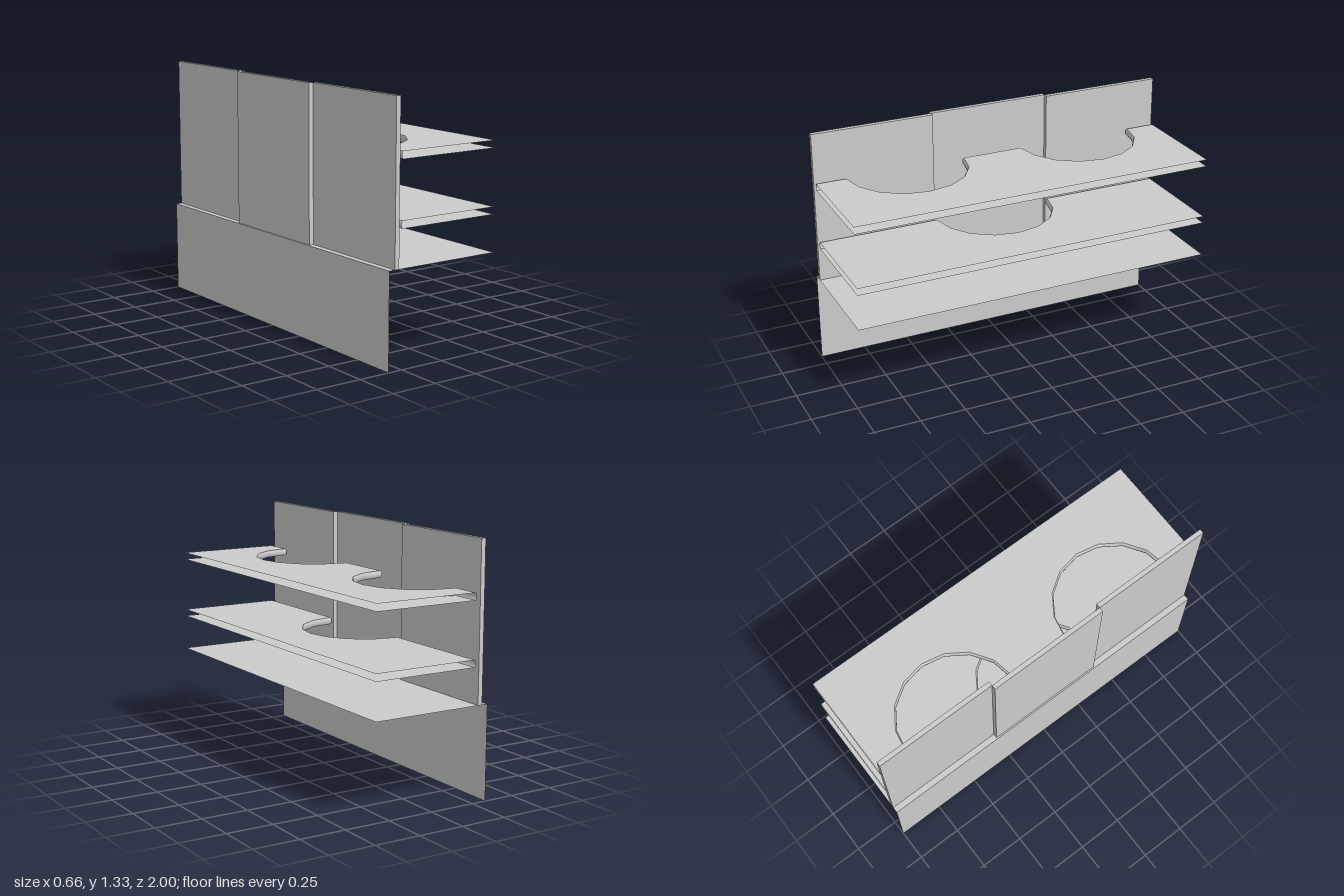
import * as THREE from 'three';

const mat = new THREE.MeshStandardMaterial({ color: 0xcccccc, side: THREE.DoubleSide });
const BACK = -0.249, FRONT = 0.329, END = 0.995, RADIUS = 0.332, BULGE = 0.007, SEGMENTS = 8;

function addMesh(parent, name, geometry, x = 0, y = 0, z = 0) {
  const mesh = new THREE.Mesh(geometry, mat);
  mesh.name = name;
  mesh.position.set(x, y, z);
  parent.add(mesh);
  return mesh;
}

// Rounded edge swept along points {x, z, nx, nz}, bulging along the normals
function edgeStrip(points, height) {
  const rows = [[0, 0], [0.75, 0.2], [1, 0.5], [0.75, 0.8], [0, 1]];
  const pos = [], index = [];
  points.forEach((p, i) => {
    rows.forEach(([out, h], j) => {
      pos.push(p.x + p.nx * BULGE * out, h * height, p.z + p.nz * BULGE * out);
      if (i && j) {
        const a = (i - 1) * rows.length + j - 1, b = a + rows.length;
        index.push(a, b, a + 1, b, b + 1, a + 1);
      }
    });
  });
  const g = new THREE.BufferGeometry();
  g.setAttribute('position', new THREE.Float32BufferAttribute(pos, 3));
  g.setIndex(index);
  g.computeVertexNormals();
  return g;
}

// Hollow shelf: two thin skins, closed only along the back edge and its cutouts
function createShelf(name, y, height, cutouts) {
  const shelf = new THREE.Group();
  shelf.name = name;
  shelf.position.y = y;

  const sections = [];
  let start = { x: BACK, z: -END, nx: -1, nz: 0 };
  for (const c of cutouts) {
    const arc = [];
    for (let i = 0; i <= SEGMENTS; i++) {
      const a = -Math.PI / 2 + (i / SEGMENTS) * Math.PI;
      const corner = i === 0 || i === SEGMENTS;
      arc.push({
        x: BACK + RADIUS * Math.cos(a), z: c + RADIUS * Math.sin(a),
        nx: corner ? -1 : -Math.cos(a), nz: -Math.sin(a),
      });
    }
    sections.push([start, arc[0]], arc);
    start = arc[SEGMENTS];
  }
  sections.push([start, { x: BACK, z: END, nx: -1, nz: 0 }]);
  sections.forEach((s) => addMesh(shelf, s.length > 2 ? 'cutoutEdge' : 'backEdge', edgeStrip(s, height)));

  const outline = sections.flat().map((p) => new THREE.Vector2(p.x, p.z));
  outline.push(new THREE.Vector2(FRONT, END), new THREE.Vector2(FRONT, -END));
  const unique = outline.filter((p, i) => i === 0 || p.distanceTo(outline[i - 1]) > 1e-6);
  const skin = new THREE.ShapeGeometry(new THREE.Shape(unique)).rotateX(Math.PI / 2);
  addMesh(shelf, 'bottomSkin', skin);
  // Top skin is turned over so it faces up
  const top = skin.clone();
  const idx = top.index.array;
  for (let i = 0; i < idx.length; i += 3) [idx[i], idx[i + 1]] = [idx[i + 1], idx[i]];
  top.computeVertexNormals();
  addMesh(shelf, 'topSkin', top, 0, height);
  return shelf;
}

export function createModel() {
  const model = new THREE.Group();
  model.name = 'shelfUnit';

  // Base: thin level sheet over a thin upright sheet at the back
  addMesh(model, 'baseTop', new THREE.PlaneGeometry(0.66, 2).rotateX(-Math.PI / 2), 0, 0.5, 0);
  addMesh(model, 'baseBack', new THREE.PlaneGeometry(2, 0.5).rotateY(-Math.PI / 2), -0.33, 0.25, 0);

  // Three back panels, the middle one stepped back
  const third = 2 / 3, thickness = 0.025, panelHeight = 0.828;
  for (const i of [-1, 0, 1]) {
    const x = i === 0 ? -0.3095 : -0.2845;
    addMesh(model, 'backPanel', new THREE.BoxGeometry(thickness, panelHeight, third),
      x, 0.5 + panelHeight / 2, i * third);
  }

  // Shelves with half-round cutouts
  model.add(createShelf('lowerShelf', 0.693, 0.038, [0]));
  model.add(createShelf('upperShelf', 1.026, 0.038, [-0.5, 0.5]));
  return model;
}
